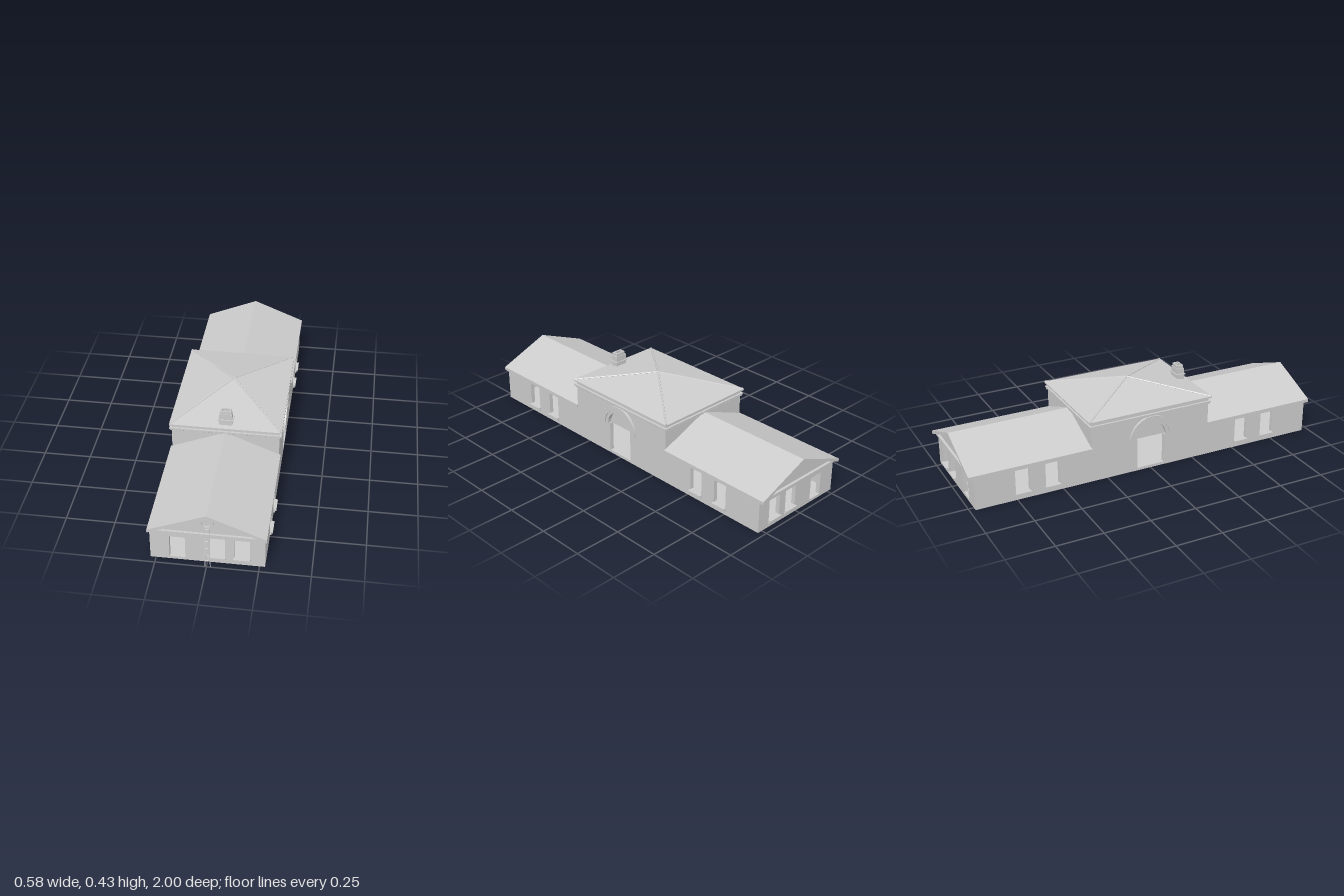
import * as THREE from 'three';

const mat = new THREE.MeshStandardMaterial({ color: 0xcccccc, flatShading: true, side: THREE.DoubleSide });
const X = 0.277, ZF = 0.964, ZB = -0.971, T = 0.022; // wall faces and thickness
const CZ = 0.341;                                    // half depth of the central block

function add(parent, name, geo, x = 0, y = 0, z = 0) {
  const m = new THREE.Mesh(geo, mat);
  m.name = name;
  m.position.set(x, y, z);
  parent.add(m);
  return m;
}

// Box given by its extents
function box(parent, name, x0, x1, y0, y1, z0, z1) {
  return add(parent, name, new THREE.BoxGeometry(x1 - x0, y1 - y0, z1 - z0),
    (x0 + x1) / 2, (y0 + y1) / 2, (z0 + z1) / 2);
}

const poly = pts => new THREE.Shape(pts.map(p => new THREE.Vector2(p[0], p[1])));
const rect = (x0, x1, y0, y1) => poly([[x0, y0], [x1, y0], [x1, y1], [x0, y1]]);
function extrude(shape, depth, holes = []) {
  shape.holes.push(...holes);
  return new THREE.ExtrudeGeometry(shape, { depth, bevelEnabled: false, curveSegments: 24 });
}

// Rod between two points
function rod(parent, name, a, b, r, sides = 6) {
  const d = b.clone().sub(a);
  const m = add(parent, name, new THREE.CylinderGeometry(r, r, d.length(), sides));
  m.position.copy(a).addScaledVector(d, 0.5);
  m.quaternion.setFromUnitVectors(new THREE.Vector3(0, 1, 0), d.normalize());
  return m;
}

// Half ring standing on y = 0
function halfRing(inner, outer, depth) {
  const s = new THREE.Shape();
  s.absarc(0, 0, outer, 0, Math.PI, false);
  s.absarc(0, 0, inner, Math.PI, 0, true);
  return extrude(s, depth);
}

// Sill with a bracket at each end, facing +z from z = 0
function sill(w) {
  const g = new THREE.Group();
  g.name = 'windowSill';
  box(g, 'sillSlab', -w / 2 - 0.003, w / 2 + 0.003, 0.031, 0.039, -T, 0.015);
  for (const s of [-1, 1]) box(g, 'sillBracket', s * w / 2 - 0.004, s * w / 2 + 0.004, 0.021, 0.031, -0.002, 0.009);
  return g;
}

function longWall(root, side) {
  const windows = [[0.515, 0.59], [0.68, 0.757], [-0.595, -0.52], [-0.757, -0.68]];
  const outline = poly([[ZB, 0], [ZF, 0], [ZF, 0.182], [CZ, 0.182], [CZ, 0.334], [-CZ, 0.334], [-CZ, 0.182], [ZB, 0.182]]);
  // Doorway with its arched head
  const door = new THREE.Shape();
  door.moveTo(-0.078, 0.015);
  door.lineTo(0.078, 0.015);
  door.lineTo(0.078, 0.178);
  door.lineTo(0.086, 0.178);
  door.absarc(0, 0.178, 0.086, 0, Math.PI, false);
  door.lineTo(-0.078, 0.178);
  door.closePath();
  const wall = add(root, 'longWall', extrude(outline, T, [door, ...windows.map(w => rect(w[0], w[1], 0.038, 0.165))]),
    side > 0 ? X : -X + T);
  wall.rotation.y = -Math.PI / 2;

  // Trim facing outwards
  const trim = new THREE.Group();
  trim.name = 'longWallTrim';
  trim.position.x = side * X;
  trim.rotation.y = side * Math.PI / 2;
  root.add(trim);
  add(trim, 'archMoulding', halfRing(0.086, 0.125, 0.007), 0, 0.178, 0);
  add(trim, 'archOuterRib', halfRing(0.104, 0.125, 0.013), 0, 0.178, 0);
  const lunette = new THREE.Shape();
  lunette.absarc(0, 0, 0.087, 0, Math.PI, false);
  add(trim, 'lunettePanel', extrude(lunette, 0.008), 0, 0.178, -T);
  for (const [a, b] of windows) {
    const s = sill(b - a);
    s.position.x = -side * (a + b) / 2;
    trim.add(s);
  }
}

function endWall(root, front) {
  const windows = [[0.01, 0.084], [0.128, 0.203]];
  const outline = poly([[-X, 0], [X, 0], [X, 0.18], [0, 0.295], [-X, 0.18]]);
  const holes = [rect(-0.183, -0.107, 0.015, 0.141), ...windows.map(w => rect(w[0], w[1], 0.038, 0.151))];
  add(root, 'gableWall', extrude(outline, T, holes), 0, 0, front ? ZF - T : ZB);
  for (const [a, b] of windows) {
    const s = sill(b - a);
    s.position.set((a + b) / 2, 0, front ? ZF : ZB);
    if (!front) s.rotation.y = Math.PI;
    root.add(s);
  }
  // Horizontal cornice under the pediment
  if (front) box(root, 'pedimentCornice', -0.284, 0.284, 0.173, 0.183, ZF - T, ZF + 0.012);
  else box(root, 'pedimentCornice', -0.284, 0.284, 0.173, 0.183, ZB - 0.014, ZB + T);
}

function wingRoof(root, z0, z1) {
  const s = poly([[0.285, 0.173], [0.285, 0.191], [0, 0.306], [-0.285, 0.191], [-0.285, 0.173], [-0.268, 0.18], [0, 0.29], [0.268, 0.18]]);
  add(root, 'wingRoof', extrude(s, z1 - z0), 0, 0, z0);
}

function centralBlock(root) {
  // Cross walls with inner doorways
  for (const z of [-CZ, CZ - T])
    add(root, 'crossWall', extrude(rect(-X + 0.001, X - 0.001, 0, 0.334), T, [rect(-0.062, 0.062, 0.015, 0.17)]), 0, 0, z);
  // Cornice with dentils
  box(root, 'cornice', -0.288, 0.288, 0.309, 0.316, -0.352, 0.352);
  box(root, 'corniceBed', -0.280, 0.280, 0.298, 0.309, -0.344, 0.344);
  const dentil = new THREE.BoxGeometry(0.01, 0.009, 0.01);
  for (let i = -15; i <= 15; i++)
    for (const s of [-1, 1]) add(root, 'dentil', dentil, i * 0.0184, 0.3045, s * 0.345);
  for (let i = -18; i <= 18; i++)
    for (const s of [-1, 1]) add(root, 'dentil', dentil, s * 0.281, 0.3045, i * 0.0188);
  // Hipped roof with ribs
  const hx = 0.288, hz = 0.356, y0 = 0.341, top = 0.413;
  box(root, 'eaves', -hx, hx, 0.333, y0, -hz, hz);
  const hip = new THREE.ConeGeometry(Math.SQRT2, top - y0, 4, 1, false, Math.PI / 4);
  hip.scale(hx, 1, hz);
  add(root, 'hippedRoof', hip, 0, (y0 + top) / 2, 0);
  const apex = new THREE.Vector3(0, top, 0);
  for (const sx of [-1, 1])
    for (const sz of [-1, 1])
      rod(root, 'hipRib', new THREE.Vector3(sx * (hx - 0.003), y0, sz * (hz - 0.003)), apex, 0.005);
}

function chimney(root) {
  const g = new THREE.Group();
  g.name = 'chimney';
  g.position.z = 0.31;
  root.add(g);
  box(g, 'chimneyStack', -0.033, 0.033, 0.338, 0.41, -0.021, 0.021);
  box(g, 'chimneyBand', -0.04, 0.04, 0.374, 0.379, -0.027, 0.027);
  // Hollow cap
  const cap = add(g, 'chimneyCap', extrude(rect(-0.028, 0.028, -0.018, 0.018), 0.017, [rect(-0.02, 0.02, -0.011, 0.011)]), 0, 0.409, 0);
  cap.rotation.x = -Math.PI / 2;
}

function oculusAndLadder(root) {
  const ring = new THREE.Shape();
  ring.absarc(0, 0, 0.033, 0, Math.PI * 2, false);
  const hole = new THREE.Path();
  hole.absarc(0, 0, 0.023, 0, Math.PI * 2, true);
  add(root, 'oculusRing', extrude(ring, 0.018, [hole]), 0, 0.255, ZF - 0.002);
  add(root, 'oculusPane', new THREE.CircleGeometry(0.024, 24), 0, 0.255, ZF + 0.004);

  // Leaning ladder with slightly bowed rails
  const g = new THREE.Group();
  g.name = 'ladder';
  root.add(g);
  const rails = [-1, 1].map(s => new THREE.CatmullRomCurve3([
    [0.006 + s * 0.0125, 0, 0.997], [0.003 + s * 0.0115, 0.07, 0.989],
    [0.002 + s * 0.0115, 0.15, 0.975], [0.002 + s * 0.0115, 0.22, 0.969]
  ].map(p => new THREE.Vector3(...p))));
  for (const c of rails) add(g, 'ladderRail', new THREE.TubeGeometry(c, 12, 0.0022, 5));
  for (let i = 0; i < 6; i++) {
    const t = 0.16 + i * 0.158;
    rod(g, 'ladderRung', rails[0].getPoint(t), rails[1].getPoint(t), 0.0018, 5);
  }
}

export function createModel() {
  const root = new THREE.Group();
  root.name = 'building';
  box(root, 'floorSlab', -X + 0.001, X - 0.001, 0, 0.015, ZB + 0.001, ZF - 0.001);
  longWall(root, 1);
  longWall(root, -1);
  endWall(root, true);
  endWall(root, false);
  wingRoof(root, CZ - 0.002, 0.987);
  wingRoof(root, -1, -CZ + 0.002);
  centralBlock(root);
  chimney(root);
  oculusAndLadder(root);
  return root;
}
